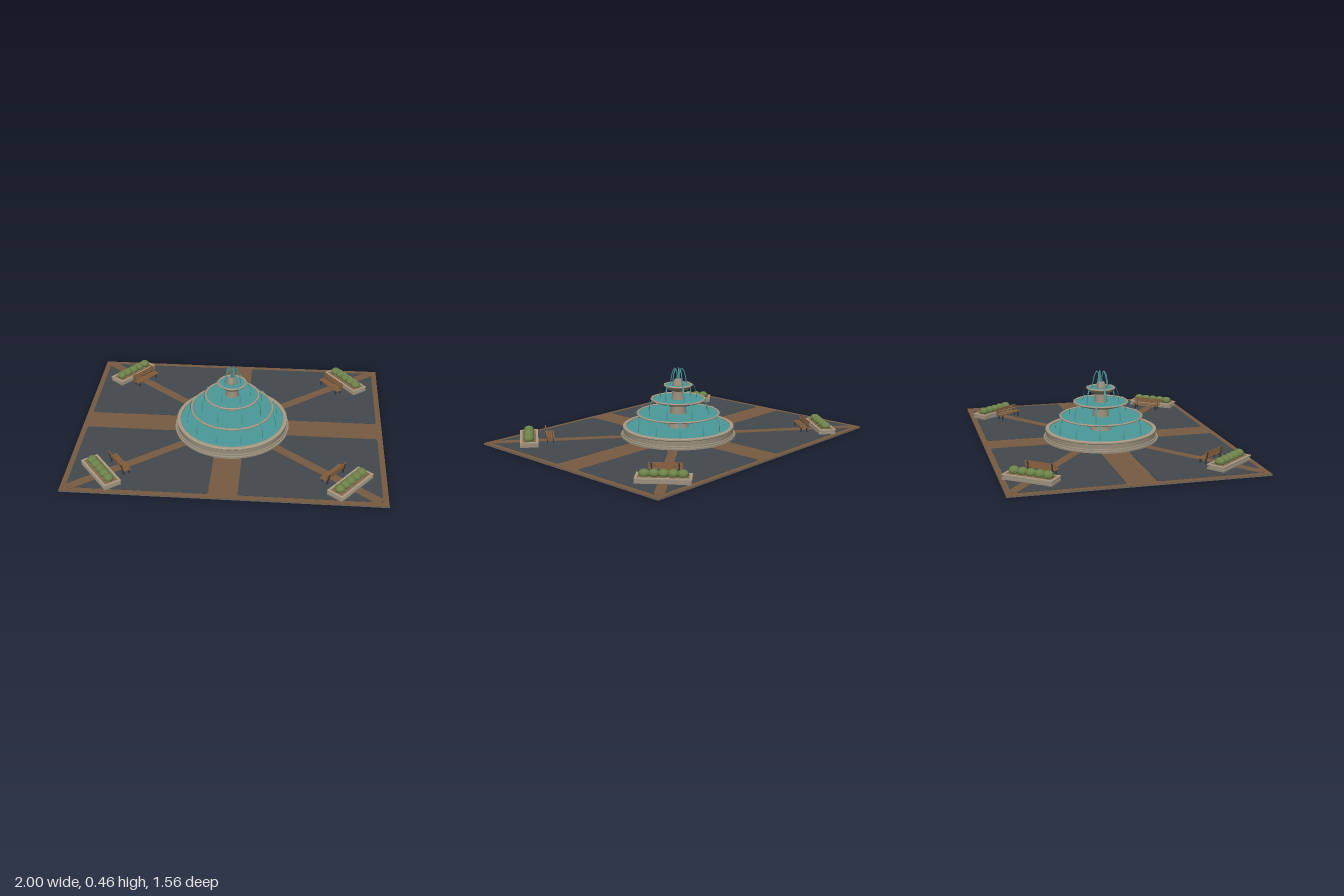
import * as THREE from 'three';

const mat = (name, color, extra = {}) => {
  const m = new THREE.MeshStandardMaterial({ color, ...extra });
  m.name = name;
  return m;
};

export function createModel() {
  const M = {
    slab: mat('slab stone', 0x6f675d),
    path: mat('brown paving', 0x775b41),
    slate: mat('dark slate', 0x42484c),
    stone: mat('fountain stone', 0x978d7b),
    rim: mat('rim stone', 0xa89a84),
    water: mat('water', 0x4c9999, { side: THREE.DoubleSide }),
    wood: mat('bench wood', 0x875f3c),
    iron: mat('bench iron', 0x34373a),
    soil: mat('soil', 0x86684a),
    leaf: mat('bush green', 0x6c8248, { flatShading: true }),
  };
  const root = new THREE.Group();
  root.name = 'fountainPlaza';

  const add = (parent, name, geo, material, x = 0, y = 0, z = 0) => {
    const mesh = new THREE.Mesh(geo, material);
    mesh.name = name;
    mesh.position.set(x, y, z);
    parent.add(mesh);
    return mesh;
  };
  const box = (parent, name, material, w, h, d, x, y, z) =>
    add(parent, name, new THREE.BoxGeometry(w, h, d), material, x, y, z);
  // Lathe with hard edges: each profile segment gets its own normals
  const turned = (parent, name, material, profile) => {
    const g = new THREE.Group();
    g.name = name;
    for (let i = 1; i < profile.length; i++) {
      const pts = [profile[i - 1], profile[i]].map(p => new THREE.Vector2(...p));
      add(g, name + 'Band', new THREE.LatheGeometry(pts, 64), material);
    }
    parent.add(g);
  };
  const smoothTurned = (parent, name, material, profile) =>
    add(parent, name, new THREE.LatheGeometry(profile.map(p => new THREE.Vector2(...p)), 64), material);
  const disc = (parent, name, r, y) =>
    add(parent, name, new THREE.CircleGeometry(r, 64).rotateX(-Math.PI / 2), M.water, 0, y, 0);

  // Ground slab and paving
  box(root, 'groundSlab', M.slab, 2, 0.008, 1.56, 0, 0.004, 0);
  box(root, 'pathPaving', M.path, 2, 0.003, 1.56, 0, 0.0095, 0);

  // Rounded slate quarter panel
  const [x0, x1, z0, z1, c] = [0.09, 0.965, 0.09, 0.745, 0.02];
  const panel = new THREE.Shape();
  panel.moveTo(x0 + c, z0);
  panel.lineTo(x1 - c, z0);
  panel.quadraticCurveTo(x1, z0, x1, z0 + c);
  panel.lineTo(x1, z1 - c);
  panel.quadraticCurveTo(x1, z1, x1 - c, z1);
  panel.lineTo(x0 + c, z1);
  panel.quadraticCurveTo(x0, z1, x0, z1 - c);
  panel.lineTo(x0, z0 + c);
  panel.quadraticCurveTo(x0, z0, x0 + c, z0);
  const panelGeo = new THREE.ExtrudeGeometry(panel, { depth: 0.002, bevelEnabled: false, curveSegments: 5 });
  panelGeo.rotateX(-Math.PI / 2);

  for (const sx of [-1, 1]) {
    for (const sz of [-1, 1]) {
      // The panel is symmetric about its own centre, so it only needs shifting
      add(root, 'slatePanel', panelGeo, M.slate,
        sx > 0 ? 0 : -(x0 + x1), 0.011, sz > 0 ? z0 + z1 : 0);

      // Corner group: local +z points outward along the diagonal
      const corner = new THREE.Group();
      corner.name = 'cornerGarden';
      corner.rotation.y = Math.atan2(sx, sz * 0.78);
      root.add(corner);
      box(corner, 'diagonalPath', M.path, 0.06, 0.003, 0.9, 0, 0.0132, 0.76);
      buildPlanter(corner, 0.979);
      buildBench(corner, 0.845);
    }
  }

  function buildPlanter(parent, z) {
    const g = new THREE.Group();
    g.name = 'planter';
    g.position.z = z;
    parent.add(g);
    box(g, 'planterBase', M.stone, 0.322, 0.014, 0.114, 0, 0.018, 0);
    box(g, 'planterBody', M.stone, 0.306, 0.022, 0.1, 0, 0.032, 0);
    for (const s of [-1, 1]) {
      box(g, 'planterLongRim', M.rim, 0.324, 0.008, 0.015, 0, 0.041, s * 0.0505);
      box(g, 'planterEndRim', M.rim, 0.015, 0.008, 0.086, s * 0.1545, 0.041, 0);
    }
    box(g, 'planterSoil', M.soil, 0.3, 0.004, 0.09, 0, 0.0425, 0);
    for (let i = 0; i < 5; i++) {
      const bush = add(g, 'bush', new THREE.IcosahedronGeometry(0.033, 1), M.leaf,
        (i - 2) * 0.055, 0.058, 0);
      bush.scale.y = 0.82;
      bush.rotation.y = i * 0.8;
    }
  }

  function buildBench(parent, z) {
    const g = new THREE.Group();
    g.name = 'bench';
    g.position.z = z;
    parent.add(g);
    for (let i = 0; i < 4; i++)
      box(g, 'seatSlat', M.wood, 0.2, 0.005, 0.009, 0, 0.047, -0.022 + i * 0.012);
    for (let i = 0; i < 3; i++)
      box(g, 'backSlat', M.wood, 0.2, 0.009, 0.005, 0, 0.06 + i * 0.012, 0.022 + i * 0.002);
    for (const s of [-1, 1]) {
      box(g, 'frontLeg', M.iron, 0.008, 0.034, 0.008, s * 0.08, 0.028, -0.02);
      box(g, 'backLeg', M.iron, 0.008, 0.034, 0.008, s * 0.08, 0.028, 0.018);
      box(g, 'seatRail', M.iron, 0.008, 0.004, 0.046, s * 0.08, 0.043, -0.002);
      const post = box(g, 'backPost', M.iron, 0.008, 0.044, 0.004, s * 0.08, 0.066, 0.028);
      post.rotation.x = 0.16;
    }
  }

  // Pool basin
  const fountain = new THREE.Group();
  fountain.name = 'fountain';
  root.add(fountain);
  turned(fountain, 'poolWall', M.stone, [
    [0.38, 0.01], [0.38, 0.024], [0.37, 0.026], [0.37, 0.034], [0.363, 0.036], [0.363, 0.07]]);
  turned(fountain, 'poolRim', M.rim, [
    [0.363, 0.066], [0.367, 0.07], [0.367, 0.078], [0.362, 0.081], [0.345, 0.081], [0.342, 0.078], [0.342, 0.06]]);
  disc(fountain, 'poolWater', 0.343, 0.071);

  // Central column, narrowing upward, with its finial
  smoothTurned(fountain, 'column', M.stone, [
    [0.072, 0.065], [0.066, 0.09], [0.058, 0.13], [0.054, 0.17], [0.049, 0.22],
    [0.044, 0.26], [0.038, 0.3], [0.036, 0.355]]);
  turned(fountain, 'finial', M.stone, [[0.037, 0.345], [0.035, 0.36], [0.026, 0.385], [0.022, 0.39], [0, 0.39]]);

  // Falling or leaping sheet of water: radial arc given as [radius, height] points
  const ribbon = (name, angle, width, points) => {
    const curve = new THREE.CatmullRomCurve3(points.map(([r, y]) => new THREE.Vector3(0, y, r)));
    const n = 14, pos = [], idx = [];
    curve.getPoints(n).forEach((p, i) => {
      pos.push(-width / 2, p.y, p.z, width / 2, p.y, p.z);
      if (i < n) idx.push(2 * i, 2 * i + 2, 2 * i + 1, 2 * i + 1, 2 * i + 2, 2 * i + 3);
    });
    const geo = new THREE.BufferGeometry();
    geo.setAttribute('position', new THREE.Float32BufferAttribute(pos, 3));
    geo.setIndex(idx);
    geo.computeVertexNormals();
    add(fountain, name, geo, M.water).rotation.y = angle;
  };

  // Three bowls: radius, rim height, depth, foot radius, jets, landing height
  const tiers = [
    [0.272, 0.165, 0.038, 0.1, 12, 0.071],
    [0.178, 0.26, 0.036, 0.07, 8, 0.161],
    [0.092, 0.353, 0.042, 0.038, 6, 0.256],
  ];
  tiers.forEach(([r, y, depth, foot, jets, land]) => {
    smoothTurned(fountain, 'bowl', M.stone, [
      [0.03, y - depth], [foot, y - depth], [foot + (r - foot) * 0.5, y - depth * 0.78],
      [foot + (r - foot) * 0.85, y - depth * 0.42], [r, y - 0.004]]);
    add(fountain, 'bowlRim', new THREE.TorusGeometry(r - 0.004, 0.008, 8, 64).rotateX(Math.PI / 2),
      M.rim, 0, y - 0.003, 0).scale.y = 0.75;
    disc(fountain, 'bowlWater', r - 0.006, y - 0.003);
    for (let i = 0; i < jets; i++) {
      ribbon('overflow', (i + 0.5) * Math.PI * 2 / jets, 0.011, [
        [r - 0.006, y + 0.001], [r + 0.008, y + 0.004], [r + 0.02, y - 0.02],
        [r + 0.028, (y + land) / 2], [r + 0.031, land]]);
    }
  });

  // Leaping jets at the top, as slim tubes
  for (let i = 0; i < 5; i++) {
    const path = new THREE.CatmullRomCurve3(
      [[0.006, 0.388], [0.013, 0.44], [0.024, 0.46], [0.038, 0.44], [0.05, 0.395], [0.056, 0.35]]
        .map(([r, y]) => new THREE.Vector3(0, y, r)));
    add(fountain, 'topJet', new THREE.TubeGeometry(path, 20, 0.0035, 6), M.water)
      .rotation.y = Math.PI / 2 + i * Math.PI * 0.4;
  }
  return root;
}
